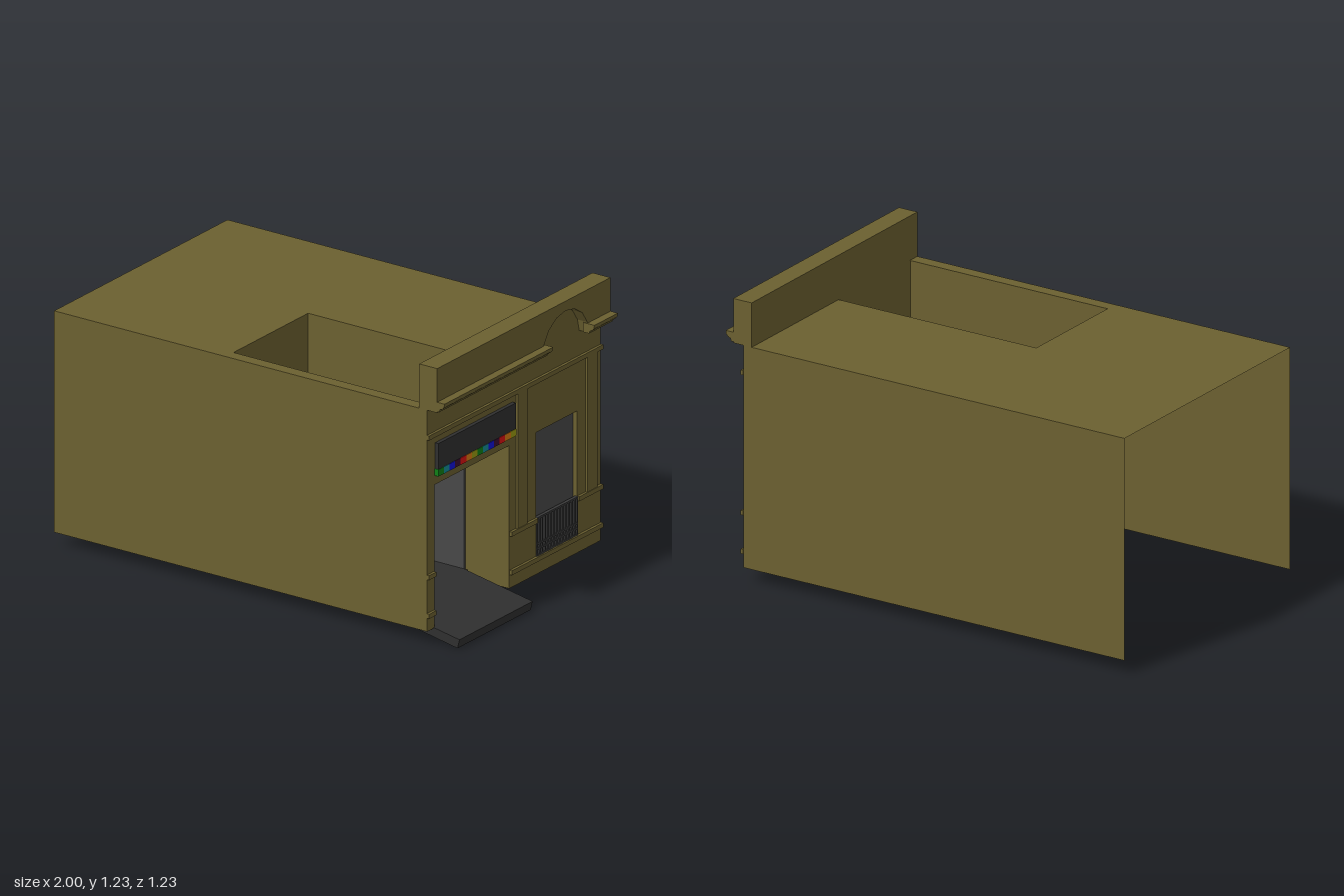
import * as THREE from 'three';

export function createModel() {
  const model = new THREE.Group();
  const mat = (color) => new THREE.MeshStandardMaterial({ color, side: THREE.DoubleSide, flatShading: true });
  const wall = mat(0x6b6030), dark = mat(0x2f2f2f), grey = mat(0x484848), iron = mat(0x3a3a3a);

  const add = (name, geometry, material, parent = model) => {
    const mesh = new THREE.Mesh(geometry, material);
    mesh.name = name;
    parent.add(mesh);
    return mesh;
  };
  const group = (name) => {
    const g = new THREE.Group();
    g.name = name;
    model.add(g);
    return g;
  };
  // box given by its limits on each axis
  const box = (name, x0, x1, y0, y1, z0, z1, material = wall, parent = model) => {
    const m = add(name, new THREE.BoxGeometry(x1 - x0, y1 - y0, z1 - z0), material, parent);
    m.position.set((x0 + x1) / 2, (y0 + y1) / 2, (z0 + z1) / 2);
    return m;
  };
  // thin upright sheets, along x or along z
  const sheetX = (name, x0, x1, y0, y1, z) => {
    const m = add(name, new THREE.PlaneGeometry(x1 - x0, y1 - y0), wall);
    m.position.set((x0 + x1) / 2, (y0 + y1) / 2, z);
  };
  const sheetZ = (name, x, y0, y1, z0, z1) => {
    const m = add(name, new THREE.PlaneGeometry(z1 - z0, y1 - y0), wall);
    m.rotation.y = Math.PI / 2;
    m.position.set(x, (y0 + y1) / 2, (z0 + z1) / 2);
  };
  const rect = (a, b, c, d) => [[a, b], [c, b], [c, d], [a, d]].map((p) => new THREE.Vector2(...p));
  // outline drawn in (-z, y), extruded along +x
  const facing = (name, shape, x0, x1) => {
    const g = new THREE.ExtrudeGeometry(shape, { depth: x1 - x0, bevelEnabled: false });
    add(name, g.rotateY(Math.PI / 2).translate(x0, 0, 0), wall);
  };

  const W = 0.61, BASE = 0.06, ROOF = 1.035;

  // open-ended shell: two long walls and a roof with a light well
  sheetX('leftSideWall', -1, 0.87, BASE, ROOF, W);
  sheetX('rightSideWall', -1, 0.87, BASE, ROOF, -W);
  const roof = new THREE.Shape(rect(-1, -W, 0.87, W));
  roof.holes.push(new THREE.Path(rect(-0.14, -0.555, 0.83, -0.03)));
  add('roof', new THREE.ShapeGeometry(roof).rotateX(-Math.PI / 2).translate(0, ROOF, 0), wall);

  // entrance room
  sheetX('roomInnerWall', -0.14, 0.83, BASE, ROOF, 0.03);
  sheetX('roomOuterWall', -0.14, 0.83, BASE, ROOF, 0.56);
  sheetZ('roomBackWall', -0.14, BASE, ROOF, 0.03, 0.56);
  box('roomFloor', -0.13, 0.67, BASE, 0.1, 0.045, 0.555, dark);
  const ramp = new THREE.Shape([[0.67, 0.06], [0.99, 0], [1, 0.04], [0.67, 0.1]].map((p) => new THREE.Vector2(...p)));
  add('ramp', new THREE.ExtrudeGeometry(ramp, { depth: 0.515, bevelEnabled: false }).translate(0, 0, 0.05), dark);

  // side panel in the room with its frame behind
  box('sidePanel', -0.05, 0.65, 0.085, 0.54, 0.031, 0.042, grey);
  const frame = group('sidePanelFrame');
  for (const x of [-0.05, 0.625]) box('frameUpright', x, x + 0.025, 0.085, 0.54, 0.018, 0.029, grey, frame);
  for (const y of [0.085, 0.515]) box('frameRail', -0.05, 0.65, y, y + 0.025, 0.018, 0.029, grey, frame);

  // facade with doorway and window opening
  const front = new THREE.Shape([
    [-W, BASE], [-0.56, BASE], [-0.56, 0.69], [-0.033, 0.69], [-0.033, BASE], [W, BASE], [W, ROOF], [-W, ROOF],
  ].map((p) => new THREE.Vector2(...p)));
  front.holes.push(new THREE.Path(rect(0.155, 0.14, 0.445, 0.685)));
  facing('facade', front, 0.83, 0.87);

  // parapet: solid back, front layer notched by an arch
  box('parapetBack', 0.83, 0.87, ROOF, 1.23, -W, W);
  const crown = new THREE.Shape();
  crown.moveTo(-W, ROOF);
  for (let i = 0; i <= 8; i++) {
    const a = Math.PI * (1 - i / 8);
    crown.lineTo(0.295 + 0.165 * Math.cos(a), Math.max(ROOF, 1.025 + 0.163 * Math.sin(a)));
  }
  crown.lineTo(W, ROOF);
  crown.lineTo(W, 1.23);
  crown.lineTo(-W, 1.23);
  facing('parapetFront', crown, 0.87, 0.92);

  // stepped cornice on both sides of the arch
  const profile = new THREE.Shape([
    [0.9, 1.04], [0.93, 1.04], [0.935, 1.053], [0.945, 1.056], [0.955, 1.067], [0.957, 1.082], [0.9, 1.082],
  ].map((p) => new THREE.Vector2(...p)));
  for (const [z0, z1] of [[-W, -0.445], [-0.155, W]]) {
    add('cornice', new THREE.ExtrudeGeometry(profile, { depth: z1 - z0, bevelEnabled: false }).translate(0, 0, z0), wall);
  }

  // raised facade trim
  const trim = group('facadeTrim');
  box('topRail', 0.87, 0.882, 0.905, 0.925, -0.613, 0.613, wall, trim);
  for (const z of [-0.575, -0.085]) box('pilaster', 0.87, 0.879, 0.31, 0.905, z, z + 0.07, wall, trim);
  for (const [z0, z1] of [[-0.613, -0.445], [-0.155, 0.03], [0.562, 0.613]]) {
    box('sillRail', 0.87, 0.882, 0.29, 0.31, z0, z1, wall, trim);
  }
  for (const [z0, z1] of [[-0.613, 0.03], [0.562, 0.613]]) {
    box('baseRail', 0.87, 0.882, 0.12, 0.14, z0, z1, wall, trim);
  }

  // recessed window with a grille below
  box('windowPane', 0.84, 0.85, 0.14, 0.685, -0.445, -0.155, grey);
  const grille = group('windowGrille');
  const pitch = 0.29 / 14;
  for (let i = 0; i <= 14; i++) {
    const z = -0.445 + i * pitch;
    box('grilleBar', 0.86, 0.874, 0.14, 0.31, Math.max(-0.445, z - 0.005), Math.min(-0.155, z + 0.005), iron, grille);
  }
  for (const y of [0.14, 0.168, 0.19, 0.302]) box('grilleRail', 0.86, 0.875, y, y + 0.008, -0.445, -0.155, iron, grille);

  // dark sign panel with a row of coloured tiles
  box('signPanel', 0.86, 0.887, 0.76, 0.874, 0.01, 0.555, dark);
  const tiles = group('colouredTiles');
  const colors = [0x0f8016, 0x158c96, 0x1010dc, 0x3c0c34, 0xdc1010, 0xd97a10, 0x9a9a10].map(mat);
  const step = 0.548 / 14;
  for (let i = 0; i < 14; i++) {
    const z = 0.557 - i * step;
    box('tile', 0.86, 0.889, 0.73, 0.76, z - step, z, colors[i % 7], tiles);
  }

  return model;
}
